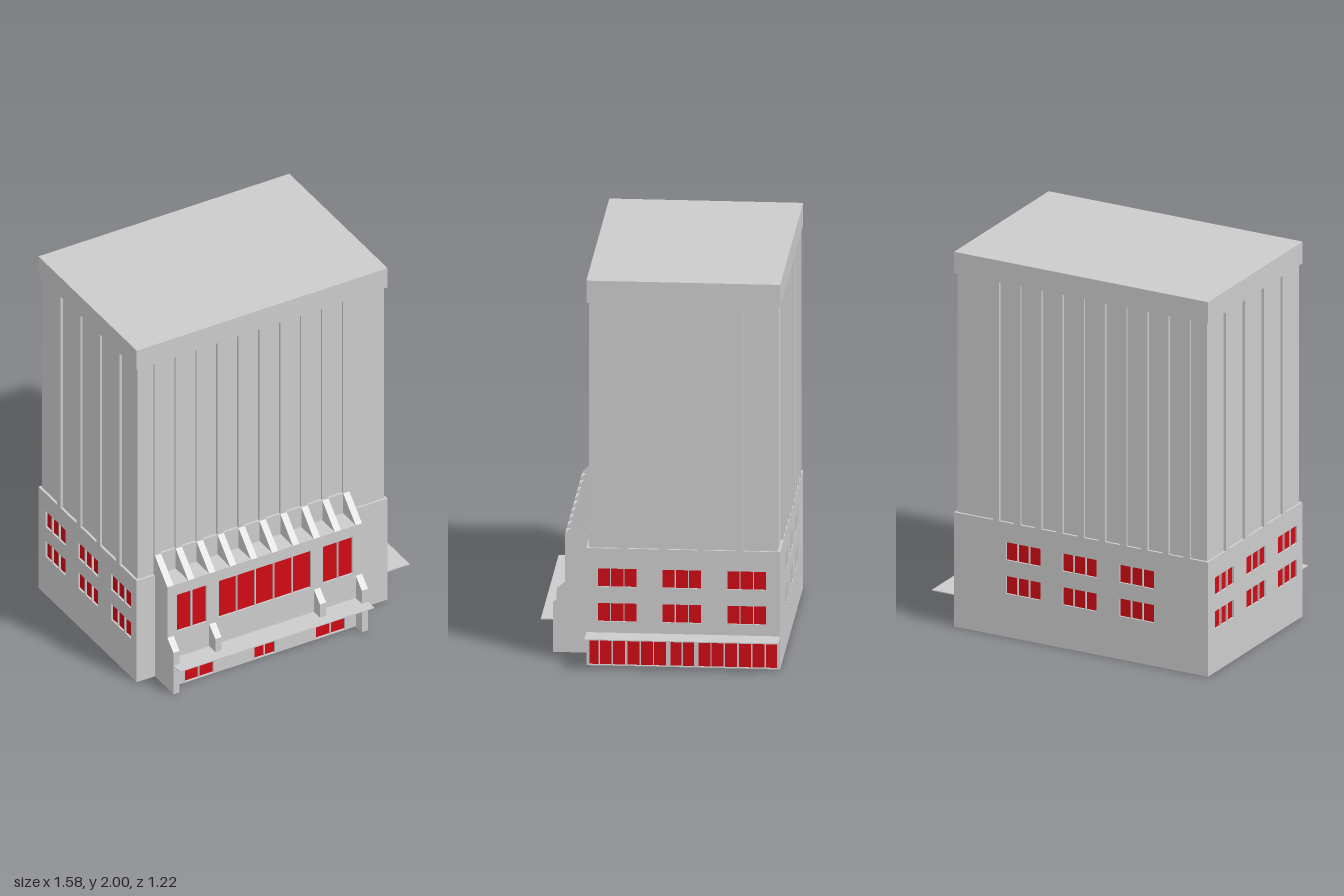
import * as THREE from 'three';

const grey = new THREE.MeshStandardMaterial({ color: 0xcccccc, flatShading: true, side: THREE.DoubleSide });
const red = new THREE.MeshStandardMaterial({ color: 0xd00a14, side: THREE.DoubleSide });

// Building extents
const X0 = -0.79, X1 = 0.66, Z0 = -0.61, Z1 = 0.36;
const PODIUM = 0.61, CAP = 1.885, TOP = 2;
const WALL = 0.016, INSET = 0.013, RIB = 0.036;
const AX0 = -0.685, AX1 = 0.44, AZ = 0.485; // entrance block

function box(parent, name, x0, x1, y0, y1, z0, z1) {
  const mesh = new THREE.Mesh(new THREE.BoxGeometry(x1 - x0, y1 - y0, z1 - z0), grey);
  mesh.position.set((x0 + x1) / 2, (y0 + y1) / 2, (z0 + z1) / 2);
  mesh.name = name;
  parent.add(mesh);
  return mesh;
}

// Wall facing local +z at distance d, with recessed panes.
// Each window is [u0, u1, v0, v1, number of panes].
function windowWall(parent, name, u0, u1, d, angle, windows) {
  const group = new THREE.Group();
  group.name = name;
  const shape = new THREE.Shape();
  shape.moveTo(u0, 0).lineTo(u1, 0).lineTo(u1, PODIUM).lineTo(u0, PODIUM).closePath();
  for (const [a, b, v0, v1, n] of windows) {
    const gap = 0.006, w = (b - a - gap * (n - 1)) / n;
    for (let i = 0; i < n; i++) {
      const l = a + i * (w + gap), r = l + w;
      const hole = new THREE.Path();
      hole.moveTo(l, v0).lineTo(l, v1).lineTo(r, v1).lineTo(r, v0).closePath();
      shape.holes.push(hole);
      const pane = new THREE.Mesh(new THREE.PlaneGeometry(w, v1 - v0), red);
      pane.position.set((l + r) / 2, (v0 + v1) / 2, d - 0.01);
      pane.name = 'windowPane';
      group.add(pane);
    }
  }
  const geo = new THREE.ExtrudeGeometry(shape, { depth: WALL, bevelEnabled: false });
  geo.translate(0, 0, d - WALL);
  const panel = new THREE.Mesh(geo, grey);
  panel.name = 'wallPanel';
  group.add(panel);
  group.rotation.y = angle;
  parent.add(group);
}

// Fin with a (z, y) profile, extruded along x about centre x
function fin(parent, name, x, profile) {
  const shape = new THREE.Shape(profile.map(([z, y]) => new THREE.Vector2(-z, y)));
  const geo = new THREE.ExtrudeGeometry(shape, { depth: RIB, bevelEnabled: false });
  geo.translate(0, 0, -RIB / 2);
  geo.rotateY(Math.PI / 2);
  const mesh = new THREE.Mesh(geo, grey);
  mesh.position.x = x;
  mesh.name = name;
  parent.add(mesh);
}

export function createModel() {
  const model = new THREE.Group();
  model.name = 'officeTower';

  // Podium walls
  const podium = new THREE.Group();
  podium.name = 'podium';
  model.add(podium);
  const rows = [[0.23, 0.325], [0.41, 0.505]];
  const grid = (starts) => rows.flatMap(([a, b]) => starts.map((s) => [s, s + 0.195, a, b, 3]));
  const shops = [[-0.359, -0.167, 3], [-0.155, 0.04, 3], [0.06, 0.18, 2], [0.2, 0.394, 3], [0.403, 0.599, 3]]
    .map(([a, b, n]) => [a, b, 0.005, 0.163, n]);
  windowWall(podium, 'leftSideWall', -Z1, -Z0, X1, Math.PI / 2, [...grid([-0.303, 0.02, 0.345]), ...shops]);
  windowWall(podium, 'rightSideWall', Z0, Z1, -X0, -Math.PI / 2, grid([-0.54, -0.215, 0.108]));
  windowWall(podium, 'backWall', -X1, -X0, -Z0, Math.PI, grid([-0.363, -0.041, 0.285]));
  box(podium, 'frontWallLeft', AX1, X1, 0, PODIUM, Z1 - WALL, Z1);
  box(podium, 'frontWallRight', X0, AX0, 0, PODIUM, Z1 - WALL, Z1);
  box(podium, 'podiumRoof', X0, X1, PODIUM - 0.01, PODIUM, Z0, Z1);

  // Tower core, ribs and cap
  const tower = new THREE.Group();
  tower.name = 'tower';
  model.add(tower);
  box(tower, 'towerCore', X0 + INSET, X1 - INSET, PODIUM, CAP, Z0 + INSET, Z1 - INSET);
  box(tower, 'roofCap', X0, X1, CAP, TOP, Z0, Z1);
  const ribX = Array.from({ length: 10 }, (_, i) => -0.668 + i * 0.121);
  for (const x of ribX) {
    box(tower, 'frontRib', x - RIB / 2, x + RIB / 2, PODIUM, CAP, Z1 - INSET, Z1);
    box(tower, 'backRib', x - RIB / 2, x + RIB / 2, PODIUM, CAP, Z0, Z0 + INSET);
  }
  for (let i = 0; i < 4; i++) {
    const z = 0.173 - i * 0.194;
    box(tower, 'leftRib', X1 - INSET, X1, PODIUM, CAP, z - RIB / 2, z + RIB / 2);
    box(tower, 'rightRib', X0, X0 + INSET, PODIUM, CAP, z - RIB / 2, z + RIB / 2);
  }

  // Entrance block with tall windows and doors
  const entrance = new THREE.Group();
  entrance.name = 'entranceBlock';
  model.add(entrance);
  windowWall(entrance, 'entranceWall', AX0, AX1, AZ, 0, [
    [-0.63, -0.46, 0.325, 0.545, 2], [-0.388, 0.143, 0.325, 0.545, 5], [0.215, 0.385, 0.325, 0.545, 2],
    [-0.585, -0.42, 0.005, 0.163, 2], [-0.183, -0.065, 0.005, 0.163, 2], [0.172, 0.34, 0.005, 0.163, 2],
  ]);
  box(entrance, 'entranceSideRight', AX0, AX0 + WALL, 0, PODIUM, Z1 - WALL, AZ - WALL);
  box(entrance, 'entranceSideLeft', AX1 - WALL, AX1, 0, PODIUM, Z1 - WALL, AZ - WALL);
  box(entrance, 'entranceRoof', AX0, AX1, PODIUM - 0.01, PODIUM, Z1, AZ);
  box(entrance, 'finBackPanel', AX0, AX1, PODIUM, 0.73, Z1 - INSET, Z1 + 0.001);

  // Sloping fins above, stepped buttresses below
  for (const x of ribX) fin(entrance, 'slopingFin', x, [[Z1, PODIUM], [AZ, PODIUM], [Z1, 0.73]]);
  for (const i of [0, 2, 7, 9]) {
    const foot = i === 0 || i === 9 ? 0 : 0.17;
    fin(entrance, 'buttress', ribX[i], [[AZ, foot], [0.545, foot], [0.545, 0.25], [AZ, 0.305]]);
  }

  // Thin canopies
  box(model, 'frontCanopy', AX0, AX1, 0.167, 0.172, AZ - WALL, 0.605);
  box(model, 'sideCanopy', X1 - WALL, 0.787, 0.167, 0.172, Z0, Z1);
  return model;
}
